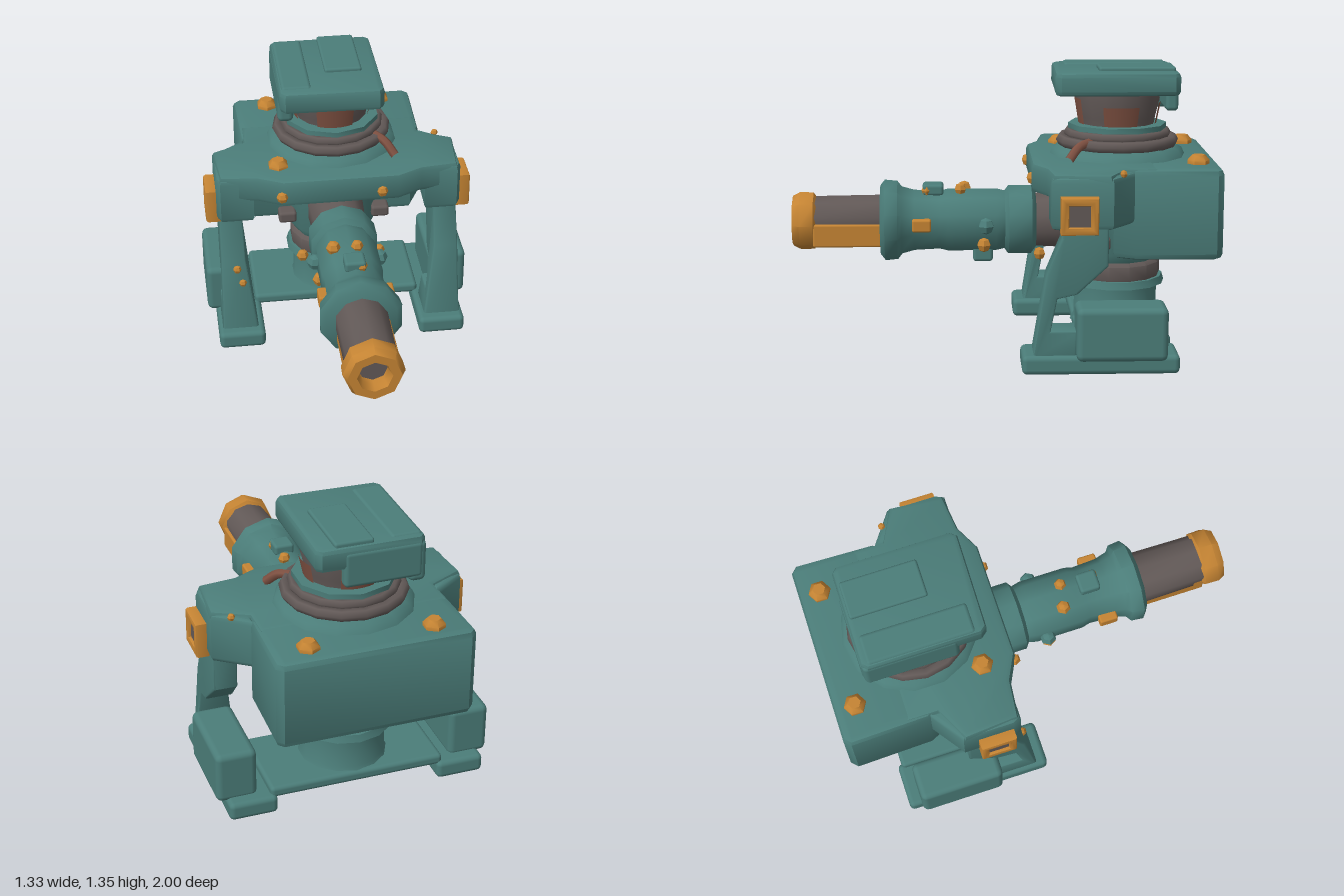
import * as THREE from 'three';
import { toCreasedNormals } from 'three/addons/utils/BufferGeometryUtils.js';
import { RoundedBoxGeometry } from 'three/addons/geometries/RoundedBoxGeometry.js';

const teal = new THREE.MeshStandardMaterial({ color: 0x4b7d79 });
const iron = new THREE.MeshStandardMaterial({ color: 0x625957 });
const amber = new THREE.MeshStandardMaterial({ color: 0xc58433 });
const rust = new THREE.MeshStandardMaterial({ color: 0x7f5142 });
teal.name = 'teal armour';
iron.name = 'dark iron';
amber.name = 'amber trim';
rust.name = 'rust glass';

const CORE_Z = -0.55; // vertical axis of pedestal, neck and head
const BARREL_Y = 0.595;

export function createModel() {
  const model = new THREE.Group();

  const add = (name, geometry, material, x = 0, y = 0, z = 0) => {
    const mesh = new THREE.Mesh(geometry, material);
    mesh.name = name;
    mesh.position.set(x, y, z);
    model.add(mesh);
    return mesh;
  };

  // Rounded box given by its limits on each axis
  const box = (name, material, [x0, x1], [y0, y1], [z0, z1], r = 0.02) =>
    add(name, new RoundedBoxGeometry(x1 - x0, y1 - y0, z1 - z0, 2, r), material,
      (x0 + x1) / 2, (y0 + y1) / 2, (z0 + z1) / 2);

  // Bevelled prism centred on its axis: 'x' takes (z, y) points, 'y' takes (x, z) points
  const prism = (points, depth, axis, bevel = 0.02, hole = null) => {
    const shape = new THREE.Shape(points.map(p => new THREE.Vector2(...p)));
    if (hole) shape.holes.push(new THREE.Path(hole.map(p => new THREE.Vector2(...p))));
    const g = new THREE.ExtrudeGeometry(shape, {
      depth: depth - 2 * bevel, bevelThickness: bevel, bevelSize: bevel,
      bevelOffset: -bevel, bevelSegments: 2,
    });
    g.translate(0, 0, bevel - depth / 2);
    if (axis === 'x') g.rotateY(-Math.PI / 2);
    if (axis === 'y') g.rotateX(Math.PI / 2);
    return toCreasedNormals(g, 0.75);
  };

  // Turned part from (radius, height) points
  const turned = (points, sides) =>
    toCreasedNormals(new THREE.LatheGeometry(points.map(p => new THREE.Vector2(...p)), sides), 0.85);
  const upright = (name, material, points, sides = 14) =>
    add(name, turned(points, sides), material, 0, 0, CORE_Z);
  const alongBarrel = (name, material, points, sides = 10) =>
    add(name, turned(points, sides).rotateX(Math.PI / 2), material, 0, BARREL_Y, 0);

  const stud = (x, y, z, r, name = 'stud', material = amber) => {
    const g = new THREE.SphereGeometry(r, 6, 4);
    add(name, toCreasedNormals(g, 0.6), material, x, y, z);
  };

  // Base and pedestal
  box('baseSlab', teal, [-0.42, 0.42], [0.07, 0.125], [-0.77, -0.34]);
  upright('pedestal', teal, [[0.22, 0.1], [0.2, 0.14], [0.2, 0.29], [0.235, 0.295], [0.225, 0.33], [0, 0.33]]);
  upright('pedestalBand', iron, [[0.208, 0.325], [0.213, 0.34], [0.213, 0.4], [0.19, 0.42], [0, 0.42]]);
  upright('column', teal, [[0, 0.4], [0.19, 0.41], [0.22, 0.46], [0.225, 0.85]]);

  // Feet, legs, shoulders and side ports
  const legOutline = [[-0.12, 0.07], [-0.18, 0.46], [-0.25, 0.63], [-0.25, 0.72], [-0.46, 0.72], [-0.46, 0.5],
    [-0.32, 0.37], [-0.23, 0.35], [-0.2, 0.2], [-0.32, 0.2], [-0.32, 0.07]];
  const square = s => [[-s, -s], [s, -s], [s, s], [-s, s]];
  for (const s of [1, -1]) {
    const span = (a, b) => (s > 0 ? [a, b] : [-b, -a]);
    box('foot', teal, span(0.39, 0.62), [0, 0.09], [-0.79, -0.07], 0.025);
    box('outerFootBlock', teal, span(0.47, 0.663), [0.07, 0.32], [-0.73, -0.315], 0.03);

    // Leg narrows towards the shoulder
    const leg = prism(legOutline, 0.18, 'x', 0.012);
    const p = leg.attributes.position;
    for (let i = 0; i < p.count; i++) {
      const t = THREE.MathUtils.clamp((p.getY(i) - 0.09) / 0.4, 0, 1);
      p.setX(i, s * (0.51 + 0.022 * t) + p.getX(i) * (1 - 0.36 * t));
    }
    add('leg', toCreasedNormals(leg, 0.75), teal);

    const shoulder = [[0.42, -0.2], [0.58, -0.2], [0.6, -0.24], [0.6, -0.48], [0.43, -0.6]];
    add('shoulder', prism(shoulder.map(([x, z]) => [s * x, z]), 0.24, 'y', 0.025), teal, 0, 0.785, 0);
    add('portFrame', prism(square(0.085), 0.08, 'x', 0.012, square(0.048)), amber, s * 0.613, 0.74, -0.325);
    box('portPanel', iron, span(0.59, 0.637), [0.68, 0.8], [-0.385, -0.265], 0.005);
    box('sideBracket', iron, span(0.19, 0.28), [0.5, 0.56], [-0.5, -0.42], 0.015);
  }

  // Torso and front yoke
  const torso = [[-0.46, -0.97], [-0.43, -1], [0.43, -1], [0.46, -0.97], [0.45, -0.6], [0.4, -0.5], [-0.4, -0.5], [-0.45, -0.6]];
  add('torso', prism(torso, 0.425, 'y', 0.03), teal, 0, 0.7025, 0);
  const yoke = [[-0.58, -0.21], [-0.4, -0.19], [-0.28, -0.13], [0.28, -0.13], [0.4, -0.19], [0.58, -0.21],
    [0.6, -0.47], [0.44, -0.55], [0.44, -0.7], [-0.44, -0.7], [-0.44, -0.55], [-0.6, -0.47]];
  add('yoke', prism(yoke, 0.14, 'y', 0.025), teal, 0, 0.85, 0);

  // Studs on the body and right leg
  for (const [x, z] of [[-0.29, -0.9], [0.29, -0.9], [-0.29, -0.29]]) {
    const cap = turned([[0.052, 0], [0.052, 0.02], [0.03, 0.045], [0, 0.045]], 6);
    add('topStud', cap, amber, x, 0.912, z);
  }
  stud(0.52, 0.91, -0.53, 0.018);
  stud(-0.285, 0.835, -0.135, 0.03);
  stud(0.2, 0.835, -0.135, 0.03);
  stud(-0.515, 0.41, -0.175, 0.022);
  stud(-0.49, 0.335, -0.162, 0.02);

  // Neck: collar, stacked rings and disc
  upright('neckCollar', teal, [[0.33, 0.9], [0.31, 0.945], [0.27, 0.965], [0, 0.965]]);
  for (const [r, y, tube] of [[0.265, 0.985, 0.028], [0.232, 1.02, 0.024]]) {
    const ring = new THREE.TorusGeometry(r, tube, 6, 16).rotateX(Math.PI / 2);
    add('neckRing', ring, iron, 0, y, CORE_Z);
  }
  upright('neckCore', iron, [[0.22, 0.95], [0.215, 1.05]]);
  upright('neckDisc', teal, [[0.2, 1.035], [0.235, 1.04], [0.235, 1.066], [0, 1.068]], 10);
  const hose = new THREE.CatmullRomCurve3([
    new THREE.Vector3(0.18, 1.0, -0.42), new THREE.Vector3(0.24, 0.985, -0.35), new THREE.Vector3(0.285, 0.93, -0.3)]);
  add('neckHose', new THREE.TubeGeometry(hose, 8, 0.022, 6), rust);

  // Head drum, glass plates and cap
  upright('headDrum', iron, [[0.175, 1.06], [0.182, 1.1], [0.202, 1.18], [0.2, 1.24]], 16);
  for (const [angle, width, top] of [[0, 0.95, 1.19], [Math.PI / 2, 0.85, 1.16], [Math.PI, 0.85, 1.17], [-Math.PI / 2, 0.85, 1.16]]) {
    const glass = new THREE.CylinderGeometry(0.206, 0.186, top - 1.068, 6, 1, true, angle - width / 2, width);
    add('headGlass', glass, rust, 0, (top + 1.068) / 2, CORE_Z);
  }
  const cap = [[-0.25, -0.25], [0.2, -0.24], [0.225, -0.27], [0.225, -0.8], [0.2, -0.825], [-0.25, -0.825], [-0.275, -0.8], [-0.275, -0.28]];
  add('headCap', prism(cap, 0.11, 'y', 0.022), teal, 0, 1.272, 0);
  box('capTopPlate', teal, [-0.04, 0.14], [1.3, 1.345], [-0.81, -0.45], 0.012);
  box('capRidge', teal, [-0.265, -0.12], [1.29, 1.335], [-0.8, -0.3], 0.018);
  box('capSideFlap', teal, [-0.278, -0.2], [1.105, 1.3], [-0.825, -0.38], 0.025);
  box('capRearFlap', teal, [-0.26, 0.1], [1.13, 1.3], [-0.83, -0.77], 0.02);

  // Barrel joint, sleeve, tube and muzzle
  alongBarrel('barrelJoint', iron, [[0.15, -0.5], [0.13, -0.15]]);
  alongBarrel('rearCollar', teal, [[0, -0.165], [0.14, -0.16], [0.168, -0.14], [0.168, -0.03], [0.14, -0.01]]);
  alongBarrel('sleeve', teal, [[0.14, -0.02], [0.152, 0.03], [0.152, 0.26], [0.142, 0.3], [0.148, 0.42],
    [0.165, 0.48], [0.192, 0.5], [0.198, 0.56], [0.17, 0.582], [0, 0.582]]);
  alongBarrel('barrelTube', iron, [[0.125, 0.56], [0.12, 0.91]]);
  alongBarrel('muzzleRing', amber, [[0.115, 0.885], [0.138, 0.9], [0.14, 0.965], [0.122, 1],
    [0.08, 1], [0.068, 0.96], [0.068, 0.92]], 8);
  alongBarrel('muzzleBore', iron, [[0.072, 0.93], [0, 0.93]], 8);
  for (const s of [1, -1]) {
    box('barrelStrip', amber, s > 0 ? [0.085, 0.13] : [-0.115, -0.085], [0.49, 0.6], [0.575, 0.9], 0.01);
    stud(s * 0.155, 0.595, 0.08, 0.04, 'sleeveBump', teal);
    box('sideLug', amber, s > 0 ? [0.13, 0.178] : [-0.178, -0.13], [0.57, 0.63], [0.34, 0.43], 0.01);
    stud(s * 0.135, 0.5, 0.09, 0.035);
    stud(s * 0.19, 0.47, -0.17, 0.03);
  }
  box('topSleeveRib', teal, [-0.05, 0.05], [0.72, 0.775], [0.28, 0.38], 0.015);
  box('lowerSleeveFin', teal, [-0.06, 0.06], [0.4, 0.52], [0.045, 0.14], 0.015);
  stud(-0.08, 0.735, 0.18, 0.035);
  stud(0.03, 0.75, 0.2, 0.03);
  stud(0.03, 0.745, 0.36, 0.028);

  return model;
}
